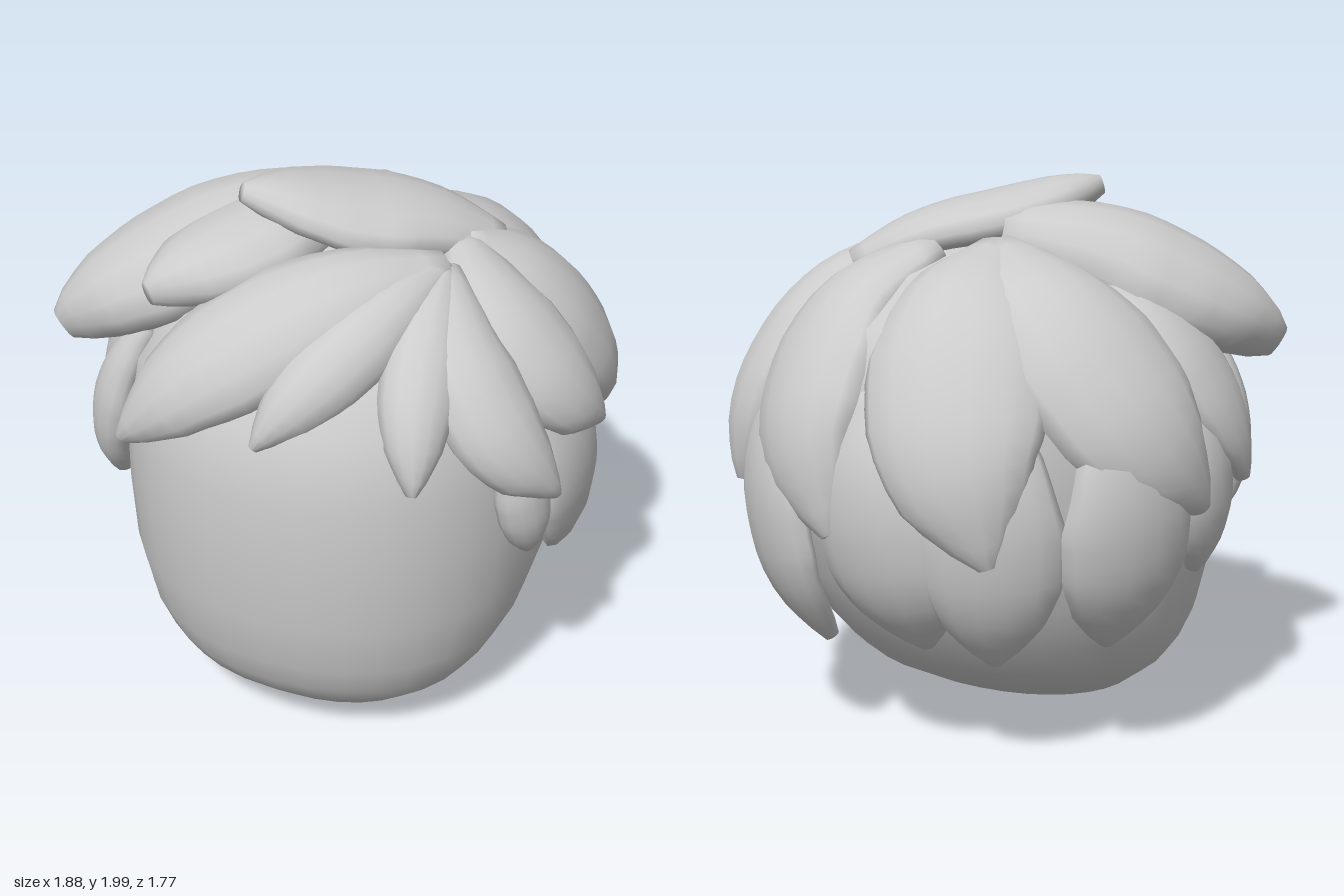
import * as THREE from 'three';

const material = new THREE.MeshStandardMaterial({ color: 0xcccccc });
const MIDDLE = new THREE.Vector3(0, 0.95, 0);

// Closed skin over rings of points, each ring counter-clockwise about the direction of travel
function loft(rings) {
  const n = rings[0].length, last = rings.length - 1;
  const centre = (ring) => ring.reduce((s, p) => s.add(p), new THREE.Vector3()).divideScalar(n);
  const points = [...rings.flat(), centre(rings[0]), centre(rings[last])];
  const index = [];
  for (let j = 0; j < n; j++) {
    const k = (j + 1) % n;
    for (let i = 0; i < last; i++) {
      const a = i * n + j, b = i * n + k, c = a + n, d = b + n;
      index.push(a, b, c, b, d, c);
    }
    index.push(points.length - 2, k, j);
    index.push(points.length - 1, last * n + j, last * n + k);
  }
  const geometry = new THREE.BufferGeometry().setFromPoints(points);
  geometry.setIndex(index);
  geometry.computeVertexNormals();
  return geometry;
}

function addMesh(group, name, geometry) {
  const mesh = new THREE.Mesh(geometry, material);
  mesh.name = name;
  group.add(mesh);
}

// Head levels: height, front z, back z, half width
const HEAD = [
  [0.005, 0.38, 0.2, 0.1], [0.03, 0.48, 0.08, 0.28], [0.1, 0.6, -0.11, 0.45],
  [0.2, 0.71, -0.3, 0.575], [0.28, 0.76, -0.4, 0.635], [0.4, 0.81, -0.52, 0.695],
  [0.6, 0.85, -0.64, 0.75], [0.85, 0.865, -0.73, 0.775], [1.1, 0.865, -0.76, 0.775],
  [1.35, 0.82, -0.75, 0.74], [1.55, 0.66, -0.65, 0.62], [1.7, 0.42, -0.42, 0.42],
  [1.78, 0.12, -0.12, 0.12],
];

function headGeometry() {
  const soft = (v) => Math.sign(v) * Math.abs(v) ** 0.92;
  return loft(HEAD.map(([y, front, back, half]) => Array.from({ length: 32 }, (_, j) => {
    const a = (j / 32) * Math.PI * 2;
    return new THREE.Vector3(half * soft(Math.cos(a)), y,
      (front + back) / 2 - ((front - back) / 2) * soft(Math.sin(a)));
  })));
}

// Relative width of a lock from root to tip
const TAPER = [[0, 0.35], [0.2, 0.72], [0.45, 1], [0.65, 0.96], [0.82, 0.7], [0.94, 0.34], [1, 0.12]];
function taper(t) {
  const i = Math.max(1, TAPER.findIndex(([s]) => s >= t));
  const [t0, w0] = TAPER[i - 1], [t1, w1] = TAPER[i];
  return THREE.MathUtils.lerp(w0, w1, (t - t0) / (t1 - t0));
}

// Path over the round of the head from root to tip, bowed sideways by sweep
function pathOverHead(root, tip, sweep) {
  const a = new THREE.Vector3(...root).sub(MIDDLE), b = new THREE.Vector3(...tip).sub(MIDDLE);
  const side = a.clone().cross(b).normalize();
  return [0, 0.33, 0.67, 1].map((t) => a.clone().lerp(b, t)
    .setLength(THREE.MathUtils.lerp(a.length(), b.length(), t * t))
    .addScaledVector(side, sweep * Math.sin(Math.PI * t)).add(MIDDLE));
}

// A leaf-shaped lock along a path, its section curved around the head
function lockGeometry(path, width, thick, wrap = 0.55) {
  const curve = new THREE.CatmullRomCurve3(path);
  const rings = [];
  for (let i = 0; i <= 16; i++) {
    const t = i / 16, p = curve.getPointAt(t), along = curve.getTangentAt(t);
    const out = p.clone().sub(MIDDLE);
    out.addScaledVector(along, -out.dot(along)).normalize();
    const side = out.clone().cross(along);
    const w = width * taper(t), h = thick * Math.sqrt(taper(t));
    rings.push(Array.from({ length: 14 }, (_, j) => {
      const a = (j / 14) * Math.PI * 2, s = w * Math.cos(a);
      return p.clone().addScaledVector(side, s)
        .addScaledVector(out, h * Math.sin(a) - wrap * s * s);
    }));
  }
  return loft(rings);
}

// Points on the crown that the upper locks grow from
const ROOTS = {
  front: [0.4, 1.72, 0.17], left: [0.37, 1.73, -0.04], backLeft: [0.15, 1.76, -0.18],
  backRight: [-0.1, 1.76, -0.13], right: [-0.05, 1.8, -0.05],
};

// Upper locks: name, root, tip, sweep, half width, half thickness
const UPPER = [
  ['fringeLarge', 'front', [-0.51, 1.19, 0.79], 0, 0.23, 0.12],
  ['fringeMiddle', 'front', [0, 1.29, 0.82], 0, 0.15, 0.11],
  ['fringeLeft', 'front', [0.52, 1.18, 0.72], -0.05, 0.14, 0.1],
  ['fringeRightUpper', 'right', [-0.48, 1.67, 0.63], 0, 0.25, 0.13],
  ['fringeRight', 'right', [-0.9, 1.4, 0.51], 0, 0.31, 0.18],
  ['leftFrontLock', 'front', [0.89, 1.07, 0.35], -0.17, 0.18, 0.1],
  ['leftMiddleLock', 'left', [0.91, 1.16, -0.03], -0.17, 0.22, 0.1],
  ['leftBackLock', 'left', [0.73, 0.92, -0.53], -0.03, 0.26, 0.12],
  ['backLeftLock', 'backLeft', [0.2, 0.86, -0.81], -0.17, 0.29, 0.1],
  ['backRightLock', 'backRight', [-0.38, 0.82, -0.77], -0.14, 0.32, 0.1],
  ['rightBackLock', 'backRight', [-0.87, 0.93, -0.12], -0.2, 0.32, 0.11],
];

// Lower locks, hanging from under the upper ones: name, root, tip, sweep, half width
const LOWER = [
  ['leftLowerLock', [0.72, 1.3, 0.08], [0.66, 0.45, -0.29], 0.03, 0.28],
  ['leftSideburn', [0.72, 1.3, 0.42], [0.78, 0.8, 0.32], 0, 0.11],
  ['backLowerLeft', [0.48, 1.35, -0.6], [0.35, 0.4, -0.58], -0.05, 0.27],
  ['backLowerMiddle', [0.08, 1.35, -0.7], [-0.05, 0.44, -0.59], 0, 0.28],
  ['backLowerRight', [-0.32, 1.35, -0.64], [-0.3, 0.41, -0.56], 0, 0.25],
  ['rightLowerBack', [-0.66, 1.35, -0.4], [-0.6, 0.45, -0.3], 0, 0.27],
  ['rightLowerLock', [-0.74, 1.35, 0], [-0.78, 0.65, 0.03], 0, 0.2],
  ['rightMiddleLock', [-0.45, 1.69, 0], [-0.9, 0.96, 0.2], 0, 0.24],
  ['rightSideburn', [-0.58, 1.45, 0.48], [-0.74, 0.79, 0.43], 0, 0.12],
];

export function createModel() {
  const model = new THREE.Group();
  model.name = 'headWithHair';
  addMesh(model, 'head', headGeometry());

  const hair = new THREE.Group();
  hair.name = 'hair';
  for (const [name, root, tip, sweep, width, thick] of UPPER) {
    addMesh(hair, name, lockGeometry(pathOverHead(ROOTS[root], tip, sweep), width, thick));
  }
  for (const [name, root, tip, sweep, width] of LOWER) {
    addMesh(hair, name, lockGeometry(pathOverHead(root, tip, sweep), width, 0.075));
  }
  // Flat lock lying across the crown, its tip lifted
  const topPath = [[0.46, 1.68, -0.2], [0.25, 1.79, -0.07], [0, 1.86, 0.11], [-0.27, 1.955, 0.33]]
    .map((p) => new THREE.Vector3(...p));
  addMesh(hair, 'topLock', lockGeometry(topPath, 0.25, 0.1, 0.3));
  model.add(hair);
  return model;
}
